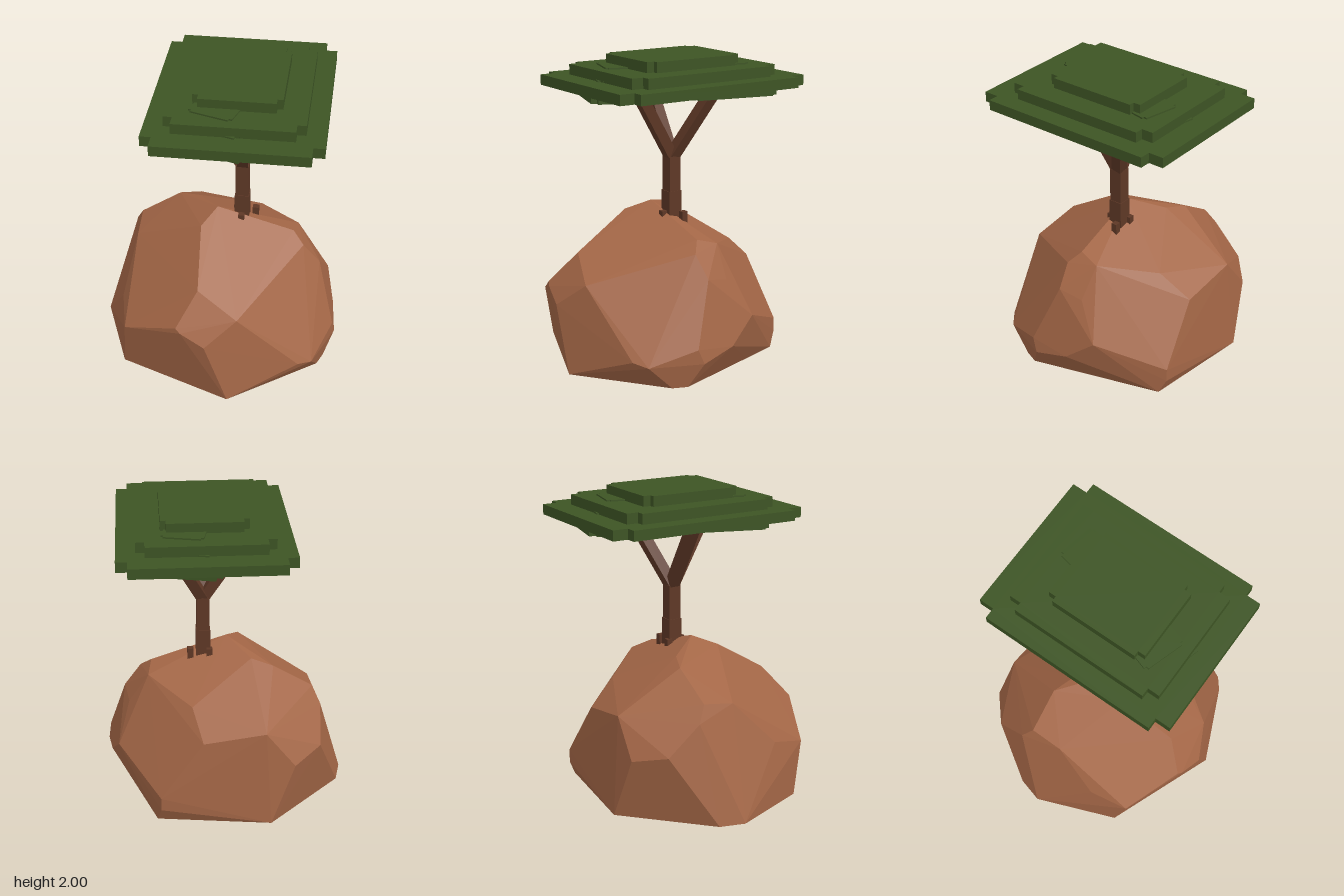
import * as THREE from 'three';
import { ConvexGeometry } from 'three/addons/geometries/ConvexGeometry.js';

const mat = (name, color) => {
  const m = new THREE.MeshStandardMaterial({ color });
  m.name = name;
  return m;
};

export function createModel() {
  const model = new THREE.Group();
  model.name = 'boulderTree';
  const stone = mat('brown stone', 0xa36646);
  const bark = mat('dark bark', 0x5e3826);
  const leaf = mat('leaf green', 0x3d5424);

  const add = (parent, name, geometry, material, x = 0, y = 0, z = 0) => {
    const mesh = new THREE.Mesh(geometry, material);
    mesh.name = name;
    mesh.position.set(x, y, z);
    parent.add(mesh);
    return mesh;
  };

  // Boulder: convex hull of its corners
  const corners = [
    // base
    [0.745, 0, 0.14], [0.745, 0, 0.04], [0.36, 0, -0.45], [0.19, 0, -0.665],
    [-0.535, 0, -0.48], [-0.82, 0, 0.15], [-0.8, 0, 0.32], [-0.41, 0, 0.735], [0.38, 0, 0.735],
    // front
    [-0.355, 0.355, 0.79], [0.245, 0.43, 0.79], [0.085, 0.505, 0.815], [0.05, 0.53, 0.81],
    [0.39, 0.59, 0.62], [0.11, 0.73, 0.625], [-0.5, 0.415, 0.575],
    // +x side
    [0.72, 0.18, 0.385], [0.775, 0.155, 0.295], [0.775, 0.155, -0.06], [0.775, 0.25, -0.02],
    [0.615, 0.65, -0.12], [0.52, 0.79, -0.06], [0.665, 0.215, -0.27], [0.545, 0.37, -0.43],
    [0.53, 0.615, -0.26],
    // back
    [0.15, 0.1, -0.7], [0.15, 0.19, -0.7], [-0.1, 0.58, -0.57], [0.03, 0.74, -0.41],
    [-0.48, 0.65, -0.44], [-0.66, 0.41, -0.38],
    // -x side
    [-0.77, 0.46, -0.165], [-0.71, 0.65, 0.04], [-0.64, 0.755, 0.08], [-0.555, 0.72, 0.28],
    // crown
    [-0.4, 0.92, -0.03], [-0.25, 0.95, -0.03], [-0.03, 1.02, 0.11], [-0.06, 0.96, 0.28],
    [0.43, 0.86, -0.09], [0.4, 0.82, -0.23],
  ].map((p) => new THREE.Vector3(...p));
  add(model, 'boulder', new ConvexGeometry(corners), stone);

  // Tree, turned about the trunk axis
  const turn = 0.379;
  const cx = 0.095;
  const trunk = new THREE.Group();
  trunk.name = 'trunk';
  trunk.position.set(cx, 0, 0);
  trunk.rotation.y = turn;
  model.add(trunk);
  add(trunk, 'stem', new THREE.BoxGeometry(0.085, 0.51, 0.085), bark, 0, 1.085, 0);
  add(trunk, 'trunkFoot', new THREE.BoxGeometry(0.094, 0.25, 0.094), bark, 0, 0.985, 0);
  for (const [x, z] of [[0.085, -0.035], [0.0, 0.065], [-0.04, -0.05]]) {
    add(trunk, 'root', new THREE.BoxGeometry(0.04, 0.09, 0.04), bark, x, 0.935, z);
  }

  // Three branches spreading into the canopy
  const start = new THREE.Vector3(cx, 1.33, 0);
  for (const [x, z] of [[0.23, -0.24], [0.24, 0.24], [-0.18, 0.09]]) {
    const end = new THREE.Vector3(x, 1.77, z);
    const length = start.distanceTo(end);
    const branch = add(model, 'branch', new THREE.BoxGeometry(0.07, length, 0.07), bark);
    branch.position.copy(start).lerp(end, 0.5);
    const tilt = new THREE.Quaternion().setFromUnitVectors(
      new THREE.Vector3(0, 1, 0), end.clone().sub(start).normalize());
    const spin = new THREE.Quaternion().setFromAxisAngle(new THREE.Vector3(0, 1, 0), turn);
    branch.quaternion.copy(tilt).multiply(spin);
  }

  // Slab with notched corners: half sizes a, b; notch n on x and m on z
  const slab = (a, b, n, m, height) => {
    const s = new THREE.Shape();
    const pts = [
      [a, -b + m], [a, b - m], [a - n, b - m], [a - n, b], [-a + n, b], [-a + n, b - m],
      [-a, b - m], [-a, -b + m], [-a + n, -b + m], [-a + n, -b], [a - n, -b], [a - n, -b + m],
    ];
    s.setFromPoints(pts.map(([x, y]) => new THREE.Vector2(x, y)));
    const g = new THREE.ExtrudeGeometry(s, { depth: height, bevelEnabled: false });
    return g.rotateX(-Math.PI / 2);
  };

  // Stepped leaf clusters of three shrinking slabs
  const cluster = (name, x, y, z, a, b, angle) => {
    const group = new THREE.Group();
    group.name = name;
    group.position.set(x, y, z);
    group.rotation.y = angle;
    model.add(group);
    [1, 0.78, 0.5].forEach((k, i) => {
      const h = 0.0667;
      add(group, 'leafSlab', slab(a * k, b * k, a * k * 0.13, b * k * 0.145, h), leaf, 0, i * h, 0);
    });
  };
  cluster('mainCanopy', 0.093, 1.8, -0.003, 0.547, 0.69, turn);
  cluster('frontLeaves', 0.1, 1.743, 0.335, 0.285, 0.245, 0.07);
  cluster('backLeaves', 0.095, 1.743, -0.312, 0.265, 0.3, 0.17);

  return model;
}
